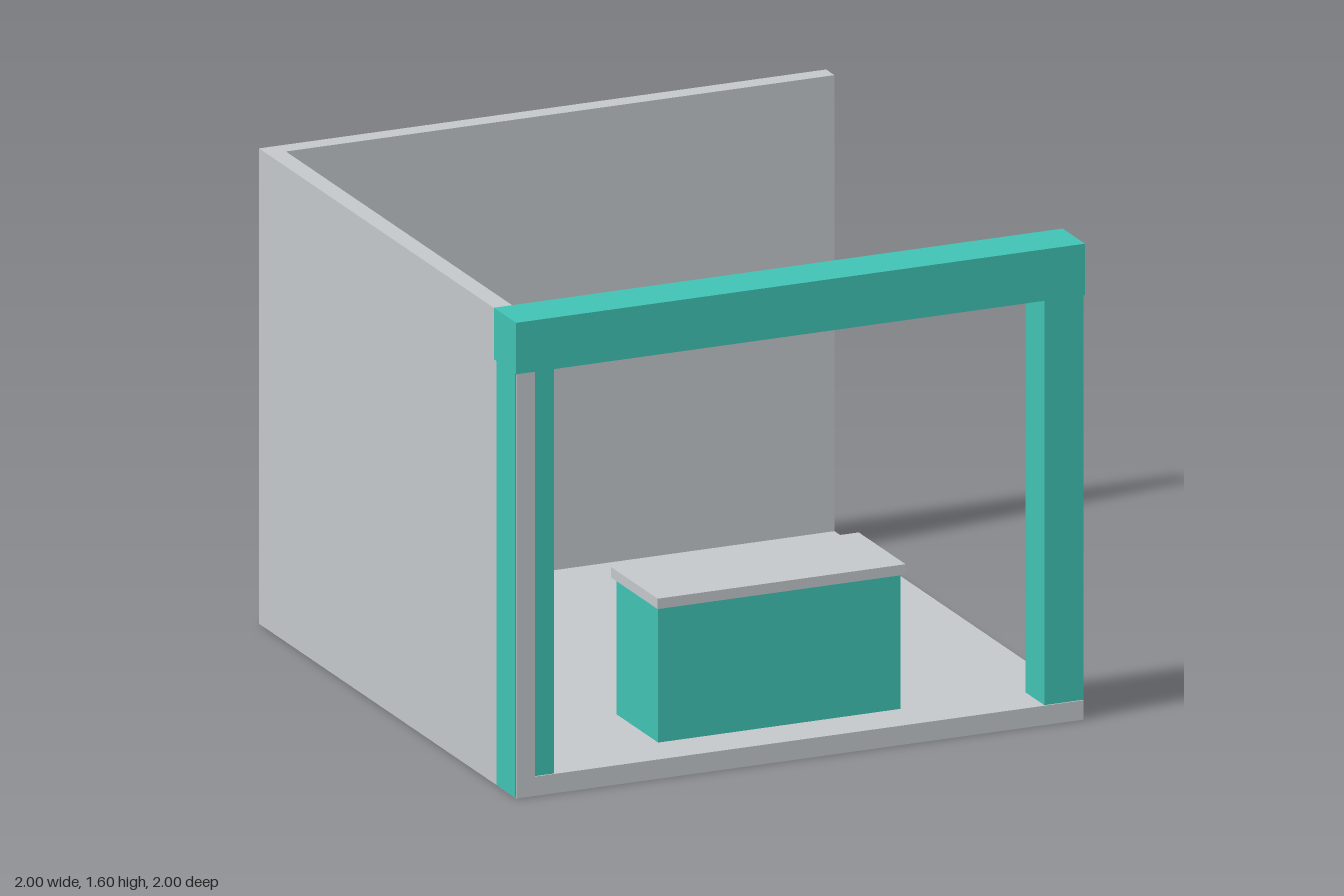
import * as THREE from 'three';

export function createModel() {
  const model = new THREE.Group();
  model.name = 'exhibitionBooth';

  const grey = new THREE.MeshStandardMaterial({ color: 0xc3c7ca });
  grey.name = 'panelGrey';
  const teal = new THREE.MeshStandardMaterial({ color: 0x40c2b3 });
  teal.name = 'accentTeal';

  // Box given by its extents along each axis
  function block(name, material, [x0, x1], [y0, y1], [z0, z1]) {
    const mesh = new THREE.Mesh(new THREE.BoxGeometry(x1 - x0, y1 - y0, z1 - z0), material);
    mesh.position.set((x0 + x1) / 2, (y0 + y1) / 2, (z0 + z1) / 2);
    mesh.name = name;
    model.add(mesh);
    return mesh;
  }

  const W = 0.995; // half width
  const T = 0.065; // panel thickness
  const H = 1.6;   // overall height

  // Floor and the two walls
  block('floor', grey, [-W, W], [0, T], [-1, 0.995]);
  block('backWall', grey, [-W, W], [T, H - 0.003], [-1, -1 + T]);
  block('sideWall', grey, [-W, -W + T], [T, H - 0.003], [-1 + T, 0.995]);

  // Front gate: two posts, slightly proud of the sides, and a beam
  for (const side of [-1, 1]) {
    const xs = [side * 0.86, side * (W + 0.002)].sort((a, b) => a - b);
    block(side < 0 ? 'rightPost' : 'leftPost', teal, xs, [0.002, 1.43], [0.845, 0.99]);
  }
  block('beam', teal, [-W - 0.003, W + 0.003], [1.427, H], [0.827, 1]);

  // Reception counter with an overhanging top
  block('counterBody', teal, [-0.425, 0.425], [T, 0.52], [0.51, 0.835]);
  block('counterTop', grey, [-0.435, 0.435], [0.52, 0.555], [0.49, 0.853]);

  return model;
}
